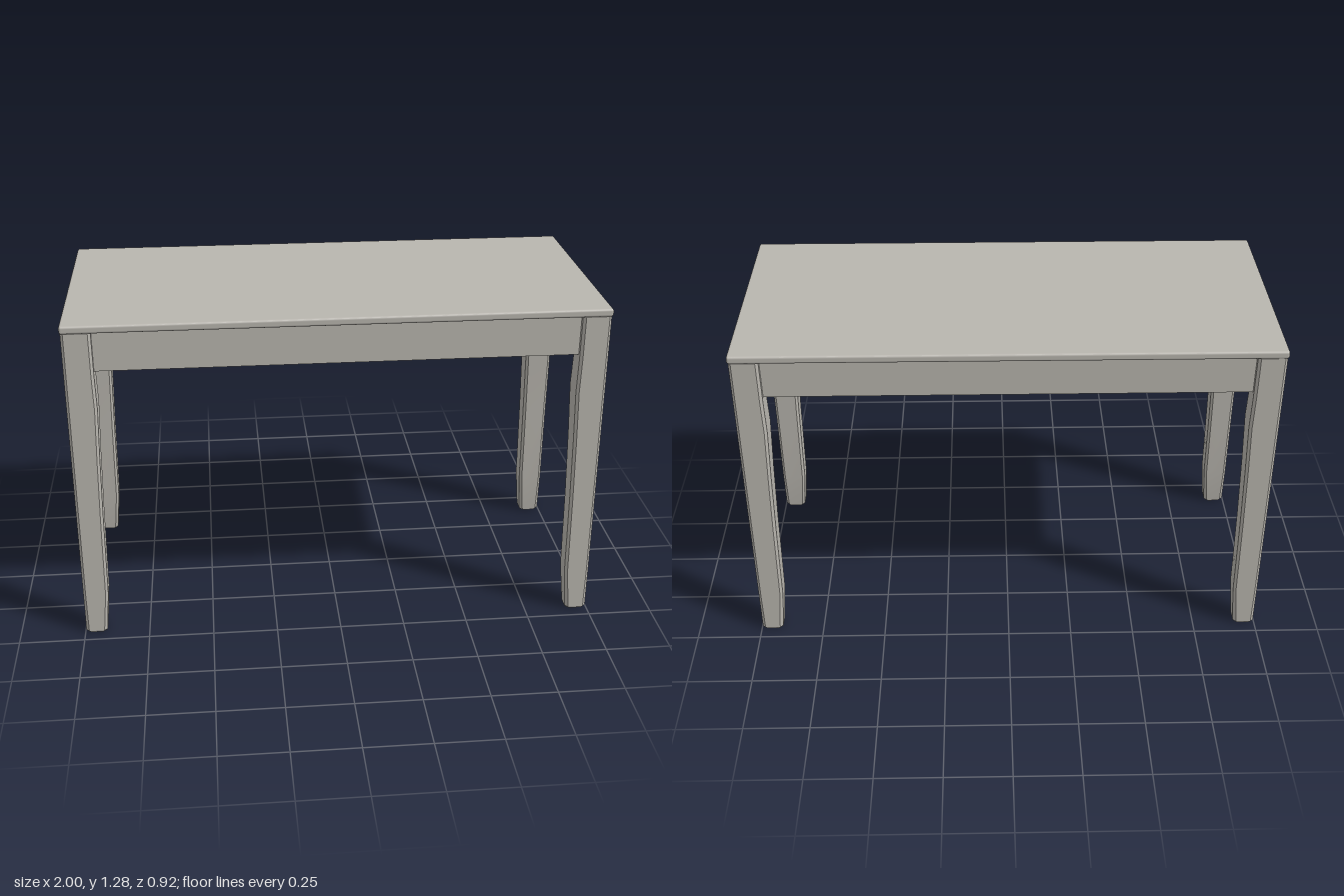
import * as THREE from 'three';
import { toCreasedNormals } from 'three/addons/utils/BufferGeometryUtils.js';
import { RoundedBoxGeometry } from 'three/addons/geometries/RoundedBoxGeometry.js';

const HALF_X = 0.997, HALF_Z = 0.453; // outer faces of the legs
const UNDERSIDE = 1.25;               // underside of the table top

// Leg levels: height, width in x, width in z, chamfer, inset of the outer faces
const LEG = [
  [0, 0.075, 0.066, 0.014, 0.005],
  [0.008, 0.083, 0.072, 0.012, 0],
  [0.17, 0.096, 0.085, 0.01, 0],
  [0.5, 0.1, 0.09, 0.01, 0],
  [0.75, 0.105, 0.098, 0.01, 0],
  [0.95, 0.111, 0.106, 0.01, 0],
  [1.08, 0.108, 0.1, 0.01, 0],
  [UNDERSIDE, 0.107, 0.098, 0.01, 0],
];

// Lofts chamfered rectangles; the two outer faces stay upright, the inner ones taper
function legGeometry(sx, sz) {
  const pos = [], index = [], n = 8;
  for (const [y, w, d, c, inset] of LEG) {
    const xs = [HALF_X - inset, HALF_X - inset - w].map((v) => v * sx).sort((a, b) => a - b);
    const zs = [HALF_Z - inset, HALF_Z - inset - d].map((v) => v * sz).sort((a, b) => a - b);
    const [x0, x1] = xs, [z0, z1] = zs;
    for (const [x, z] of [
      [x0 + c, z1], [x1 - c, z1], [x1, z1 - c], [x1, z0 + c],
      [x1 - c, z0], [x0 + c, z0], [x0, z0 + c], [x0, z1 - c],
    ]) pos.push(x, y, z);
  }
  const last = (LEG.length - 1) * n;
  for (let r = 0; r < last; r += n) {
    for (let i = 0; i < n; i++) {
      const j = (i + 1) % n;
      index.push(r + i, r + j, r + n + j, r + i, r + n + j, r + n + i);
    }
  }
  // End caps
  for (let i = 1; i < n - 1; i++) {
    index.push(0, i + 1, i, last, last + i, last + i + 1);
  }
  const geo = new THREE.BufferGeometry();
  geo.setAttribute('position', new THREE.Float32BufferAttribute(pos, 3));
  geo.setIndex(index);
  return toCreasedNormals(geo, 0.5);
}

export function createModel() {
  const group = new THREE.Group();
  group.name = 'table';
  const paint = new THREE.MeshStandardMaterial({ color: 0xb9b6af });
  paint.name = 'warm grey paint';

  const add = (name, geometry, x = 0, y = 0, z = 0) => {
    const mesh = new THREE.Mesh(geometry, paint);
    mesh.name = name;
    mesh.position.set(x, y, z);
    group.add(mesh);
  };

  // Thin top with softened edges
  add('tableTop', new RoundedBoxGeometry(2, 0.03, 0.916, 3, 0.009), 0, UNDERSIDE + 0.015, 0);

  // Four tapered legs, mirrored about both axes
  for (const sx of [-1, 1]) {
    for (const sz of [-1, 1]) {
      add(`${sz > 0 ? 'front' : 'back'}${sx > 0 ? 'Left' : 'Right'}Leg`, legGeometry(sx, sz));
    }
  }

  // Aprons between the legs, set back from the leg faces
  const h = 0.157, y = UNDERSIDE + 0.002 - h / 2, t = 0.055;
  for (const s of [-1, 1]) {
    add(s > 0 ? 'frontApron' : 'backApron', new THREE.BoxGeometry(1.81, h, t), 0, y, s * (0.427 - t / 2));
    add(s > 0 ? 'leftApron' : 'rightApron', new THREE.BoxGeometry(t, h, 0.73), s * (0.965 - t / 2), y, 0);
  }
  return group;
}
